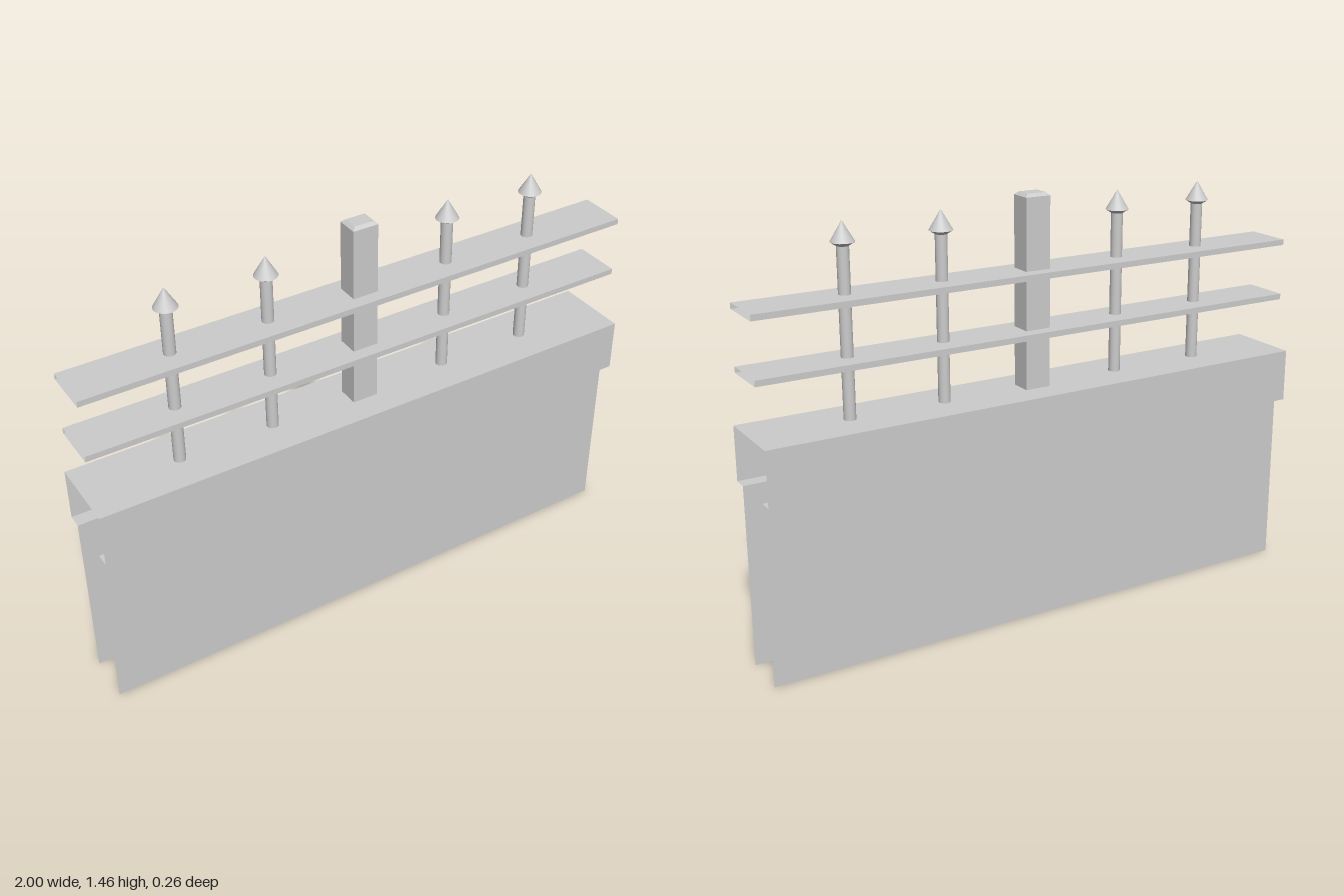
import * as THREE from 'three';

const sheet = new THREE.MeshStandardMaterial({ color: 0xcccccc, side: THREE.DoubleSide });

// Flat quads joining two matching outlines
function span(a, b) {
  const pos = [];
  for (let i = 0; i < a.length - 1; i++) {
    for (const p of [a[i], b[i], b[i + 1], a[i], b[i + 1], a[i + 1]]) pos.push(...p);
  }
  const g = new THREE.BufferGeometry();
  g.setAttribute('position', new THREE.Float32BufferAttribute(pos, 3));
  g.computeVertexNormals();
  return g;
}

// Open-ended run of a [z, y] profile along the full length
const run = (profile) => span(
  profile.map(([z, y]) => [-1, y, z]),
  profile.map(([z, y]) => [1, y, z]));

// Closed rectangular outline at height y
const ring = (w, d, y) => [[w, y, d], [-w, y, d], [-w, y, -d], [w, y, -d], [w, y, d]];

function add(parent, name, geometry, y = 0) {
  const mesh = new THREE.Mesh(geometry, sheet);
  mesh.name = name;
  mesh.position.y = y;
  parent.add(mesh);
  return mesh;
}

export function createModel() {
  const model = new THREE.Group();
  model.name = 'fencedWall';
  const TOP = 0.81, WALL = 0.083, COPING = 0.132, STEP = 0.625;

  // Hollow wall with overhanging coping, open at both ends and underneath
  add(model, 'wall', run([
    [WALL, 0], [WALL, STEP], [COPING, STEP], [COPING, TOP],
    [-COPING, TOP], [-COPING, STEP], [-WALL, STEP], [-WALL, 0],
  ]));

  // Two flat rails, open at the ends
  const rails = [[0.993, 1.013], [1.192, 1.212]];
  for (const [y0, y1] of rails) {
    add(model, 'rail', run([[WALL, y0], [WALL, y1], [-WALL, y1], [-WALL, y0], [WALL, y0]]));
  }

  // Square centre post, interrupted by the rails, with a bevelled top
  const post = new THREE.Group();
  post.name = 'centrePost';
  model.add(post);
  const W = 0.045, D = 0.038, SHOULDER = 1.453, PEAK = 1.463, INSET = 0.011;
  const pieces = [[TOP, rails[0][0]], [rails[0][1], rails[1][0]], [rails[1][1], SHOULDER]];
  for (const [y0, y1] of pieces) add(post, 'postSection', span(ring(W, D, y0), ring(W, D, y1)));
  add(post, 'postBevel', span(ring(W, D, SHOULDER), ring(W - INSET, D - INSET, PEAK)));
  const cap = new THREE.PlaneGeometry(2 * (W - INSET), 2 * (D - INSET)).rotateX(-Math.PI / 2);
  add(post, 'postTop', cap, PEAK);

  // Round bars with pointed heads
  const SIDES = 20, R = 0.02, HEAD = 0.039, NECK = 1.362, BROAD = 1.374, TIP = 1.44;
  for (const x of [-0.667, -0.333, 0.333, 0.667]) {
    const bar = new THREE.Group();
    bar.name = 'spearBar';
    bar.position.x = x;
    model.add(bar);
    const tier = (name, rTop, rBottom, y0, y1) => add(bar, name,
      new THREE.CylinderGeometry(rTop, rBottom, y1 - y0, SIDES, 1, true), (y0 + y1) / 2);
    tier('shaft', R, R, TOP, NECK);
    tier('headUnderside', HEAD, R, NECK, BROAD);
    tier('headPoint', 0, HEAD, BROAD, TIP);
  }
  return model;
}
